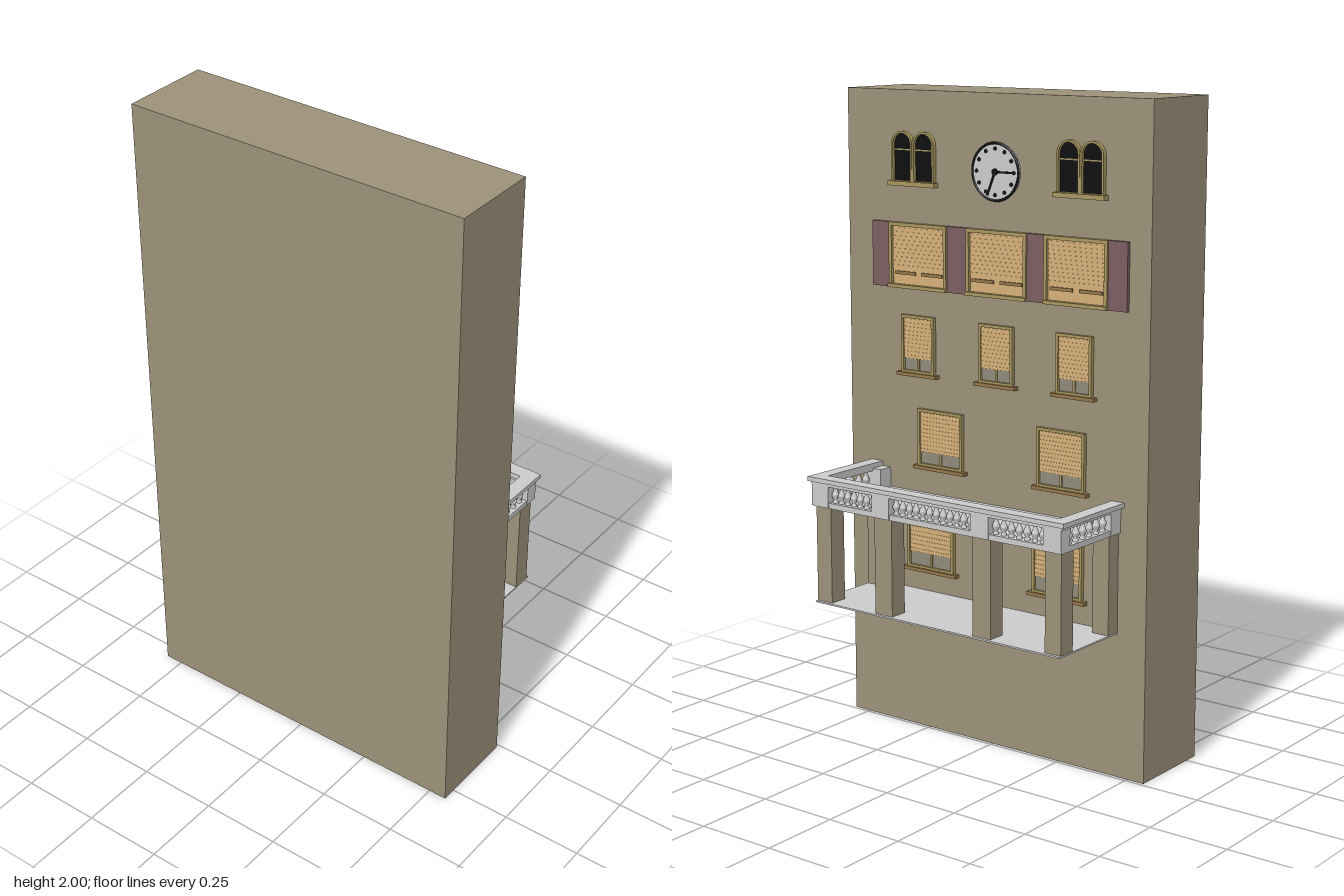
import * as THREE from 'three';

const mat = (color, side = THREE.FrontSide) => new THREE.MeshStandardMaterial({ color, side });
const M = {
  wall: mat(0x9d927a), stone: mat(0xcccccc), frame: mat(0xa8975f), blind: mat(0xd6b078),
  sill: mat(0x94774a), glass: mat(0x0c0d10), pane: mat(0x8f8a7c), shutter: mat(0x7c5e62), ink: mat(0x141414),
};
const WALL = -0.01; // depth of the facade plane

function add(parent, name, geo, material, x = 0, y = 0, z = 0) {
  const m = new THREE.Mesh(geo, material);
  m.name = name;
  m.position.set(x, y, z);
  parent.add(m);
  return m;
}
// box given by its limits
function block(parent, name, material, x0, x1, y0, y1, z0, z1) {
  return add(parent, name, new THREE.BoxGeometry(x1 - x0, y1 - y0, z1 - z0), material,
    (x0 + x1) / 2, (y0 + y1) / 2, (z0 + z1) / 2);
}
function group(parent, name) {
  const g = new THREE.Group();
  g.name = name;
  parent.add(g);
  return g;
}

// rectangular window: frame, blind with slats, two lower panes and a sill
function blindWindow(parent, cx, w, y0, y1, gap, sill) {
  const g = group(parent, 'blindWindow');
  const x0 = cx - w / 2, x1 = cx + w / 2, t = 0.009, front = 0.003;
  block(g, 'backPane', M.pane, x0, x1, y0, y1, WALL, -0.006);
  block(g, 'frameLeft', M.frame, x0, x0 + t, y0, y1, WALL, front);
  block(g, 'frameRight', M.frame, x1 - t, x1, y0, y1, WALL, front);
  block(g, 'frameTop', M.frame, x0 + t, x1 - t, y1 - t, y1, WALL, front);
  block(g, 'frameBottom', M.frame, x0 + t, x1 - t, y0, y0 + t, WALL, front);
  block(g, 'mullion', M.frame, cx - 0.004, cx + 0.004, y0 + t, y0 + gap, WALL, -0.002);
  block(g, 'blind', M.blind, x0 + t, x1 - t, y0 + gap, y1 - t, -0.006, -0.003);
  const n = 10, step = (y1 - t - y0 - gap) / n;
  for (let i = 0; i < n; i++) {
    const y = y0 + gap + i * step;
    block(g, 'slat', M.blind, x0 + t, x1 - t, y + step * 0.1, y + step * 0.8, -0.003, -0.0015);
  }
  if (sill) block(g, 'sill', M.sill, x0 - 0.013, x1 + 0.013, y0 - 0.009, y0 + 0.002, WALL, 0.01);
}

// large upper window with a low double sash rail
function wideWindow(parent, x0, x1) {
  const g = group(parent, 'wideWindow');
  const y0 = 1.4, y1 = 1.6, t = 0.011, cx = (x0 + x1) / 2;
  block(g, 'blind', M.blind, x0, x1, y0, y1, WALL, -0.004);
  for (let i = 0; i < 10; i++)
    block(g, 'slat', M.blind, x0 + t, x1 - t, 1.46 + i * 0.0128, 1.469 + i * 0.0128, -0.004, -0.002);
  block(g, 'frameLeft', M.frame, x0, x0 + t, y0, y1, WALL, 0.006);
  block(g, 'frameRight', M.frame, x1 - t, x1, y0, y1, WALL, 0.006);
  block(g, 'frameTop', M.frame, x0 + t, x1 - t, y1 - t, y1, WALL, 0.006);
  block(g, 'sill', M.frame, x0, x1, y0, y0 + t, WALL, 0.012);
  for (const s of [-1, 1]) {
    const c = cx + s * 0.052;
    block(g, 'sashBar', M.sill, c - 0.04, c + 0.04, 1.441, 1.451, -0.004, 0.001);
  }
}

// round-headed opening outline
function archPath(Type, cx, w, y0, ySpring) {
  const p = new Type();
  p.moveTo(cx - w / 2, y0);
  p.lineTo(cx + w / 2, y0);
  p.lineTo(cx + w / 2, ySpring);
  p.absarc(cx, ySpring, w / 2, 0, Math.PI, false);
  p.lineTo(cx - w / 2, y0);
  return p;
}
function archedWindow(parent, cx) {
  const g = group(parent, 'archedWindow');
  for (const s of [-1, 1]) {
    const c = cx + s * 0.041;
    const outer = archPath(THREE.Shape, c, 0.081, 1.725, 1.836);
    outer.holes.push(archPath(THREE.Path, c, 0.068, 1.728, 1.836));
    add(g, 'archFrame', new THREE.ExtrudeGeometry(outer, { depth: 0.014, bevelEnabled: false, curveSegments: 16 }),
      M.frame, 0, 0, WALL);
    add(g, 'glass', new THREE.ExtrudeGeometry(archPath(THREE.Shape, c, 0.07, 1.726, 1.836),
      { depth: 0.004, bevelEnabled: false, curveSegments: 16 }), M.glass, 0, 0, WALL);
    block(g, 'glazingBar', M.frame, c - 0.035, c + 0.035, 1.819, 1.823, WALL, -0.003);
  }
  block(g, 'sill', M.frame, cx - 0.09, cx + 0.09, 1.712, 1.726, WALL, 0.012);
}

function clock(parent, cx, cy) {
  const g = group(parent, 'clock');
  g.position.set(cx, cy, WALL);
  add(g, 'face', new THREE.CylinderGeometry(0.084, 0.084, 0.012, 40).rotateX(Math.PI / 2), M.stone, 0, 0, 0.006);
  add(g, 'rim', new THREE.TorusGeometry(0.084, 0.004, 8, 40), M.ink, 0, 0, 0.011);
  for (let i = 0; i < 12; i++) {
    const a = i * Math.PI / 6;
    add(g, 'hourMark', new THREE.CylinderGeometry(0.006, 0.006, 0.003, 10).rotateX(Math.PI / 2), M.ink,
      Math.cos(a) * 0.068, Math.sin(a) * 0.068, 0.013);
  }
  add(g, 'hub', new THREE.CylinderGeometry(0.01, 0.01, 0.006, 12).rotateX(Math.PI / 2), M.ink, 0, 0, 0.014);
  for (const [len, a] of [[0.062, 0], [0.075, -1.95]]) {
    const hand = add(g, 'hand', new THREE.BoxGeometry(len, 0.006, 0.003).translate(len / 2, 0, 0), M.ink, 0, 0, 0.0145);
    hand.rotation.z = a;
  }
}

const balusterGeo = new THREE.LatheGeometry([[0.009, 0], [0.009, 0.006], [0.005, 0.01], [0.012, 0.022], [0.011, 0.029],
  [0.005, 0.043], [0.007, 0.049], [0.009, 0.053], [0.009, 0.059]].map(p => new THREE.Vector2(...p)), 10);

function balusterRow(parent, n, xa, za, xb, zb) {
  for (let i = 0; i < n; i++) {
    const t = (i + 0.5) / n;
    add(parent, 'baluster', balusterGeo, M.stone, xa + (xb - xa) * t, 0.766, za + (zb - za) * t);
  }
}

function porch(parent) {
  const g = group(parent, 'porch');
  const cols = [[-0.46, -0.402], [-0.228, -0.162], [0.143, 0.208], [0.402, 0.458]];
  block(g, 'porchFloor', M.stone, -0.46, 0.46, 0.444, 0.449, WALL, 0.285);
  cols.forEach(([a, b], i) => {
    block(g, 'frontColumn', M.wall, a, b, 0.446, 0.752, 0.216, 0.275);
    block(g, 'frontPedestal', M.stone, a - (i === 0 ? 0.007 : 0), b + (i === 3 ? 0.007 : 0), 0.752, 0.826, 0.243, 0.287);
  });
  block(g, 'deck', M.stone, -0.45, 0.45, 0.754, 0.764, WALL, 0.27);
  block(g, 'ceiling', M.ink, -0.43, 0.43, 0.751, 0.754, WALL, 0.25);
  // front balustrade
  block(g, 'frontBase', M.stone, -0.465, 0.465, 0.75, 0.767, 0.247, 0.284);
  block(g, 'frontUnderRail', M.stone, -0.468, 0.468, 0.818, 0.828, 0.25, 0.288);
  block(g, 'frontRail', M.stone, -0.478, 0.478, 0.828, 0.842, 0.25, 0.294);
  [7, 12, 7].forEach((n, i) => balusterRow(g, n, cols[i][1], 0.266, cols[i + 1][0], 0.266));
  // side balustrades and columns against the wall
  for (const s of [-1, 1]) {
    const side = (name, m, a, b, y0, y1, z0, z1) =>
      block(g, name, m, Math.min(s * a, s * b), Math.max(s * a, s * b), y0, y1, z0, z1);
    side('wallColumn', M.wall, 0.402, 0.459, 0.446, 0.752, WALL, 0.038);
    side('wallPedestal', M.stone, 0.402, 0.466, 0.752, 0.826, WALL, 0.04);
    side('sideBase', M.stone, 0.43, 0.465, 0.75, 0.767, WALL, 0.247);
    side('sideUnderRail', M.stone, 0.433, 0.468, 0.818, 0.828, WALL, 0.25);
    side('sideRail', M.stone, 0.433, 0.478, 0.828, 0.842, WALL, 0.25);
    balusterRow(g, 6, s * 0.448, 0.04, s * 0.448, 0.243);
  }
}

export function createModel() {
  const model = new THREE.Group();
  model.name = 'townhouseFacade';
  // built facing +z, then turned so that the facade looks along +x
  const house = group(model, 'house');
  house.rotation.y = Math.PI / 2;

  block(house, 'building', M.wall, -0.558, 0.558, 0, 2, -0.295, WALL);
  archedWindow(house, -0.295);
  archedWindow(house, 0.32);
  clock(house, 0.018, 1.772);

  // shuttered storey
  for (const [a, b] of [[-0.456, -0.388], [-0.164, -0.09], [0.133, 0.196], [0.42, 0.485]])
    block(house, 'shutter', M.shutter, a, b, 1.4, 1.6, WALL, 0.001);
  for (const a of [-0.388, -0.09, 0.196]) wideWindow(house, a, a + 0.223);

  // lower storeys
  for (const x of [-0.281, 0.018, 0.302]) blindWindow(house, x, 0.127, 1.138, 1.318, 0.045, true);
  for (const x of [-0.196, 0.257]) blindWindow(house, x, 0.172, 0.85, 1.03, 0.045, true);
  for (const x of [-0.235, 0.247]) blindWindow(house, x, 0.182, 0.52, 0.72, 0.05, true);

  porch(house);
  return model;
}
